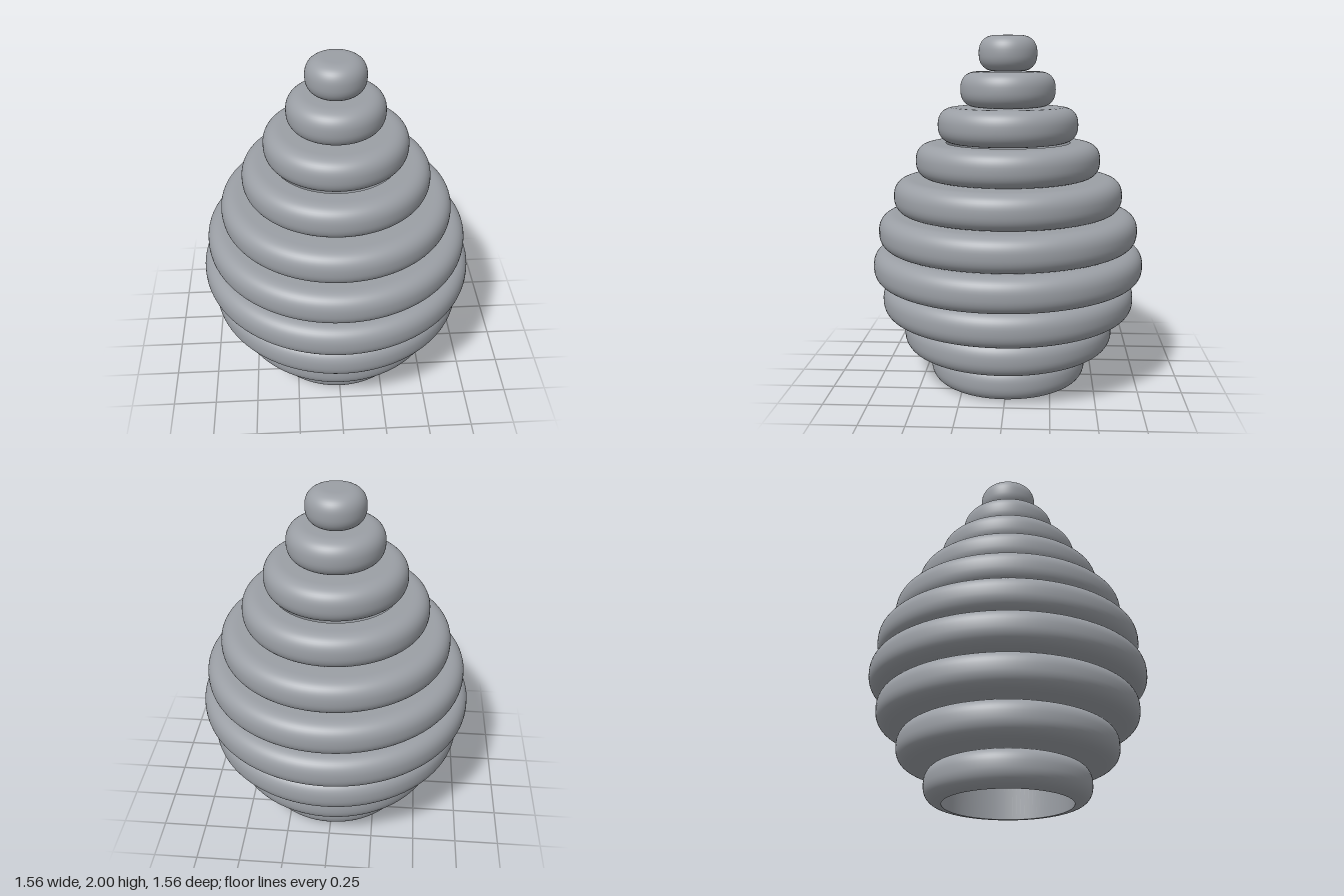
import * as THREE from 'three';

const RING_RADII = [0.455, 0.61, 0.73, 0.78, 0.745, 0.655, 0.527, 0.4, 0.27, 0.165];
const RING_HEIGHT = 0.2;
const HOLLOW_RINGS = 7;   // lower rings surround the cavity
const CAVITY_RADIUS = 0.355;
const SEGMENTS = 96;

// Rounded side of a ring, slightly squarer than a half circle
function ringProfile(radius, inner) {
  const half = RING_HEIGHT / 2;
  const points = [new THREE.Vector2(inner, -half)];
  const steps = 24;
  for (let i = 0; i <= steps; i++) {
    const a = -Math.PI / 2 + (Math.PI * i) / steps;
    const c = Math.pow(Math.max(0, Math.cos(a)), 0.84);
    const s = Math.sign(a) * Math.pow(Math.abs(Math.sin(a)), 0.84);
    const r = radius - half + half * c;
    if (r > inner + 1e-4) points.push(new THREE.Vector2(r, half * s));
  }
  points.push(new THREE.Vector2(inner, half));
  return points;
}

export function createModel() {
  const model = new THREE.Group();
  model.name = 'beehive';
  const grey = new THREE.MeshStandardMaterial({ color: 0x9b9fa5 });
  grey.name = 'grey';

  // Stacked coils
  RING_RADII.forEach((radius, i) => {
    const inner = i < HOLLOW_RINGS ? CAVITY_RADIUS : 0;
    const coil = new THREE.Mesh(new THREE.LatheGeometry(ringProfile(radius, inner), SEGMENTS), grey);
    coil.name = `coil${i + 1}`;
    coil.position.y = RING_HEIGHT * (i + 0.5);
    model.add(coil);
  });

  // Inward-facing wall of the open cavity; the first solid coil is its ceiling
  const wall = new THREE.Mesh(
    new THREE.LatheGeometry([
      new THREE.Vector2(CAVITY_RADIUS, HOLLOW_RINGS * RING_HEIGHT),
      new THREE.Vector2(CAVITY_RADIUS, 0),
    ], SEGMENTS),
    grey,
  );
  wall.name = 'cavityWall';
  model.add(wall);

  return model;
}
